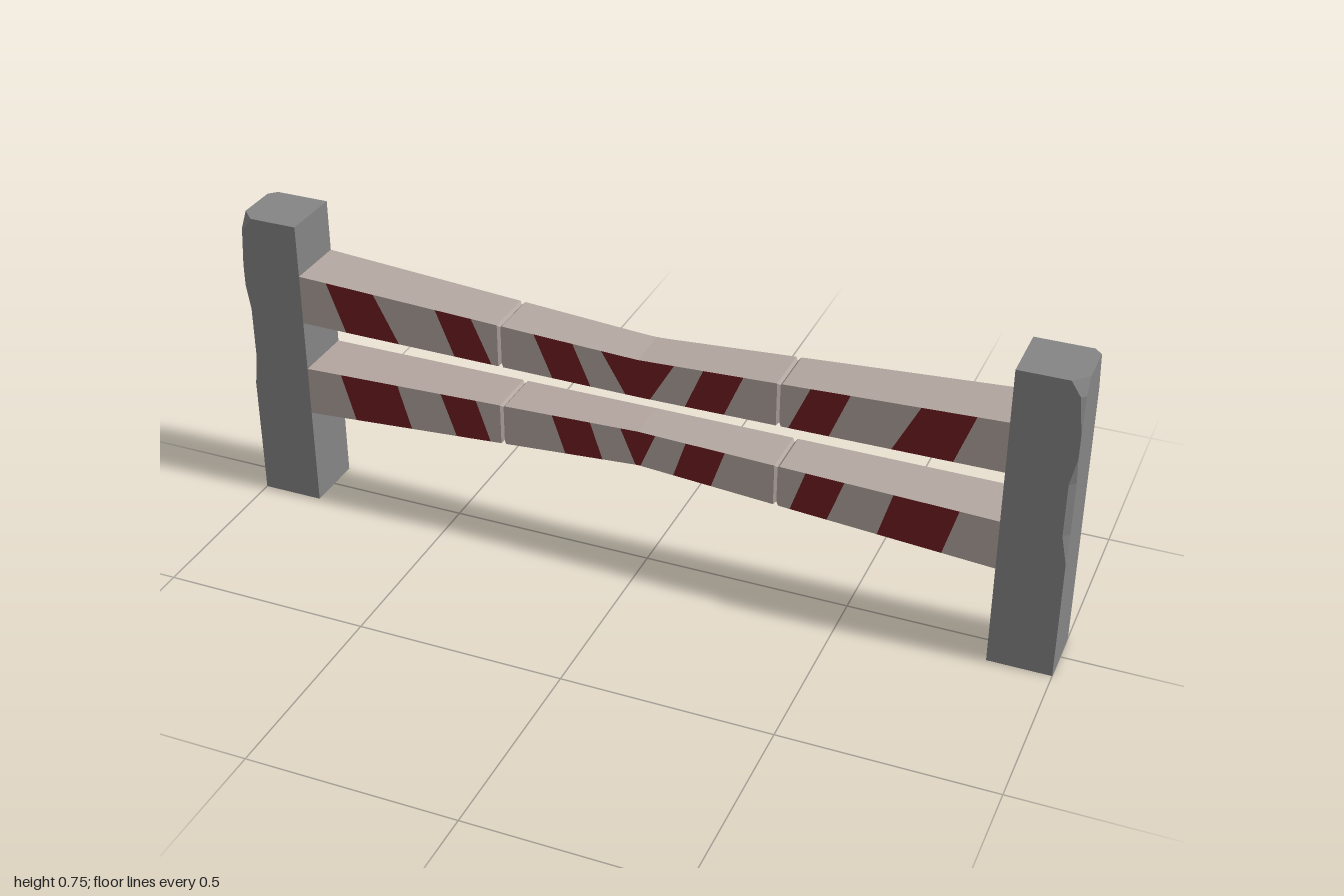
import * as THREE from 'three';

const POST = 0x858585, WOOD = 0xb3a6a0, PAINT = 0x701c22;
const INNER = 0.85, D = 0.075;

// Collects polygons (corners counter-clockwise from outside) into a flat-shaded mesh
function polyMesh(name, color, polys) {
  const pos = [];
  const ab = new THREE.Vector3(), ac = new THREE.Vector3();
  for (const p of polys) {
    for (let i = 1; i < p.length - 1; i++) {
      const [a, b, c] = [p[0], p[i], p[i + 1]].map(v => new THREE.Vector3(...v));
      if (ab.subVectors(b, a).cross(ac.subVectors(c, a)).length() < 1e-9) continue;
      for (const v of [a, b, c]) pos.push(v.x, v.y, v.z);
    }
  }
  const geo = new THREE.BufferGeometry();
  geo.setAttribute('position', new THREE.Float32BufferAttribute(pos, 3));
  geo.computeVertexNormals();
  const mesh = new THREE.Mesh(geo, new THREE.MeshStandardMaterial({ color, flatShading: true }));
  mesh.name = name;
  return mesh;
}

// Mirrors polygons across x = 0, keeping them facing outward
const mirror = polys => polys.map(p => p.map(([x, y, z]) => [-x, y, z]).reverse());

// Post: square column whose outer edges are chipped: [height, front chip, back chip]
function postPolys() {
  const levels = [
    [0, 0, 0], [0.3, 0, 0], [0.37, 0.014, 0], [0.5, 0.014, 0], [0.57, 0, 0],
    [0.625, 0, 0], [0.66, 0.004, 0], [0.715, 0.01, 0.011], [0.75, 0.033, 0.018],
  ];
  const rings = levels.map(([y, c, d]) => [
    [INNER, y, D], [1 - c, y, D], [1, y, D - c],
    [1, y, d - D], [1 - d, y, -D], [INNER, y, -D],
  ]);
  const polys = [rings[rings.length - 1], [...rings[0]].reverse()];
  for (let k = 0; k < rings.length - 1; k++) {
    const lo = rings[k], hi = rings[k + 1];
    for (let i = 0; i < 6; i++) {
      const j = (i + 1) % 6;
      polys.push([lo[i], lo[j], hi[j], hi[i]]);
    }
  }
  return polys;
}

// Rail: tapers towards the middle, with a groove on each side and stripes on the front
function makeRail(name, mid, end, marks) {
  const lerp = THREE.MathUtils.lerp;
  const top = x => lerp(mid.top, end.top, x / INNER);
  const bottom = x => lerp(mid.bottom, end.bottom, x / INNER);
  const depth = x => lerp(0.056, D, x / INNER);
  const wood = [], paint = [];

  // Top, back and underside, plus the front of the groove
  const stations = [[0, 0], [0.332, 0], [0.338, 0.006], [0.344, 0], [INNER, 0]];
  const ring = ([x, inset]) => {
    const t = top(x) - inset, b = bottom(x) + inset, z = depth(x) - inset;
    return [[x, b, z], [x, t, z], [x, t, -z], [x, b, -z]];
  };
  for (let i = 0; i < stations.length - 1; i++) {
    const p = ring(stations[i]), q = ring(stations[i + 1]);
    const inGroove = i === 1 || i === 2;
    for (let k = inGroove ? 0 : 1; k < 4; k++) {
      const n = (k + 1) % 4;
      wood.push([p[k], q[k], q[n], p[n]]);
    }
  }

  // Front: slanted bands running outward; each mark is [top x, bottom x]
  const bands = (edges, firstPainted) => {
    for (let i = 0; i < edges.length - 1; i++) {
      const [t0, b0] = edges[i], [t1, b1] = edges[i + 1];
      const painted = (i % 2 === 0) === firstPainted;
      (painted ? paint : wood).push([
        [b0, bottom(b0), depth(b0)], [b1, bottom(b1), depth(b1)],
        [t1, top(t1), depth(t1)], [t0, top(t0), depth(t0)],
      ]);
    }
  };
  bands([[0, 0], ...marks.slice(0, 3), [0.332, 0.332]], true);
  bands([[0.344, 0.344], ...marks.slice(3), [INNER, INNER]], false);

  const rail = new THREE.Group();
  rail.name = name;
  rail.add(
    polyMesh(name + 'Wood', WOOD, [...wood, ...mirror(wood)]),
    polyMesh(name + 'Stripes', PAINT, [...paint, ...mirror(paint)]),
  );
  return rail;
}

export function createModel() {
  const model = new THREE.Group();
  model.name = 'barrier';

  const post = postPolys();
  model.add(polyMesh('leftPost', POST, post), polyMesh('rightPost', POST, mirror(post)));

  model.add(makeRail('upperRail',
    { top: 0.575, bottom: 0.479 }, { top: 0.622, bottom: 0.498 },
    [[0.088, 0.03], [0.158, 0.115], [0.253, 0.209],
      [0.409, 0.361], [0.5, 0.455], [0.658, 0.598], [0.78, 0.736]]));
  model.add(makeRail('lowerRail',
    { top: 0.387, bottom: 0.297 }, { top: 0.373, bottom: 0.25 },
    [[0.043, 0.006], [0.118, 0.088], [0.213, 0.181],
      [0.406, 0.372], [0.497, 0.46], [0.61, 0.578], [0.76, 0.727]]));

  return model;
}
